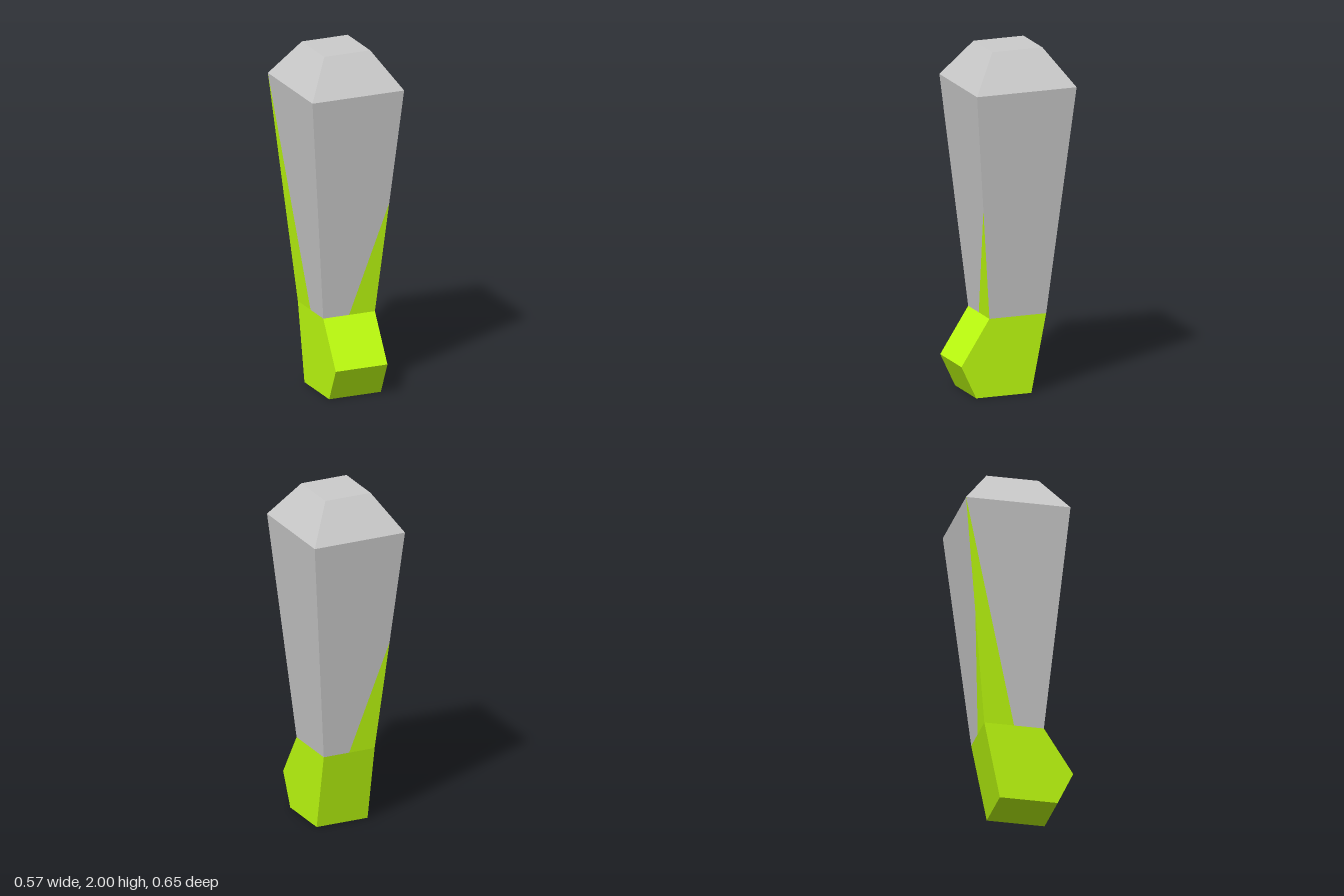
import * as THREE from 'three';

const grey = new THREE.MeshStandardMaterial({ color: 0xcccccc, flatShading: true });
const green = new THREE.MeshStandardMaterial({ color: 0xbfff10, flatShading: true });

// Rectangular ring of corners at height y: front left, front right, back right, back left as seen from the front
const ring = (y, x, front, back) => [[-x, front], [x, front], [x, back], [-x, back]]
  .map(([px, pz]) => new THREE.Vector3(px, y, pz));

// Mesh made of flat convex polygons, each listed counterclockwise from outside
function panels(name, material, polygons) {
  const points = [];
  for (const p of polygons)
    for (let i = 1; i < p.length - 1; i++) points.push(p[0], p[i], p[i + 1]);
  const geometry = new THREE.BufferGeometry().setFromPoints(points);
  geometry.computeVertexNormals();
  const mesh = new THREE.Mesh(geometry, material);
  mesh.name = name;
  return mesh;
}

export function createModel() {
  const group = new THREE.Group();
  group.name = 'limb';

  const ankle = ring(0.455, 0.16, 0.155, -0.19);
  const shoulder = ring(1.787, 0.284, 0.28, -0.325);
  const top = ring(2, 0.142, 0.13, -0.174);
  const mid = (a, b, t = 0.5) => a.clone().lerp(b, t);

  // Tapered shaft: three sides carry a coloured wedge rising from half of the lower edge
  const shaft = [], wedges = [];
  const wedgeHeight = [0.49, 0, 0.49, 1]; // front, right, back, left
  for (let i = 0; i < 4; i++) {
    const j = (i + 1) % 4, h = wedgeHeight[i];
    const a = ankle[i], b = ankle[j], c = shoulder[j], d = shoulder[i];
    if (h === 0) { shaft.push([a, b, c, d]); continue; }
    const m = mid(a, b);
    if (i === 3) { // left side: wedge runs the whole back edge
      wedges.push([a, m, d]);
      shaft.push([m, b, c, d]);
    } else {
      const p = mid(b, c, h);
      wedges.push([m, b, p]);
      shaft.push(h < 1 ? [m, p, c, d, a] : [m, c, d, a]);
    }
  }
  group.add(panels('shaft', grey, shaft), panels('shaftWedges', green, wedges));

  // Bevelled cap
  const cap = [top];
  for (let i = 0; i < 4; i++) {
    const j = (i + 1) % 4;
    cap.push([shoulder[i], shoulder[j], top[j], top[i]]);
  }
  group.add(panels('cap', grey, cap));

  // Foot: side profile (z, y) extruded across the width
  const profile = [[0.155, 0.455], [0.325, 0.19], [0.235, 0], [-0.1, 0], [-0.19, 0.455]];
  const shape = new THREE.Shape(profile.map(([z, y]) => new THREE.Vector2(-z, y)));
  const footGeometry = new THREE.ExtrudeGeometry(shape, { depth: 0.32, bevelEnabled: false });
  footGeometry.translate(0, 0, -0.16).rotateY(Math.PI / 2);
  const foot = new THREE.Mesh(footGeometry, green);
  foot.name = 'foot';
  group.add(foot);

  return group;
}
